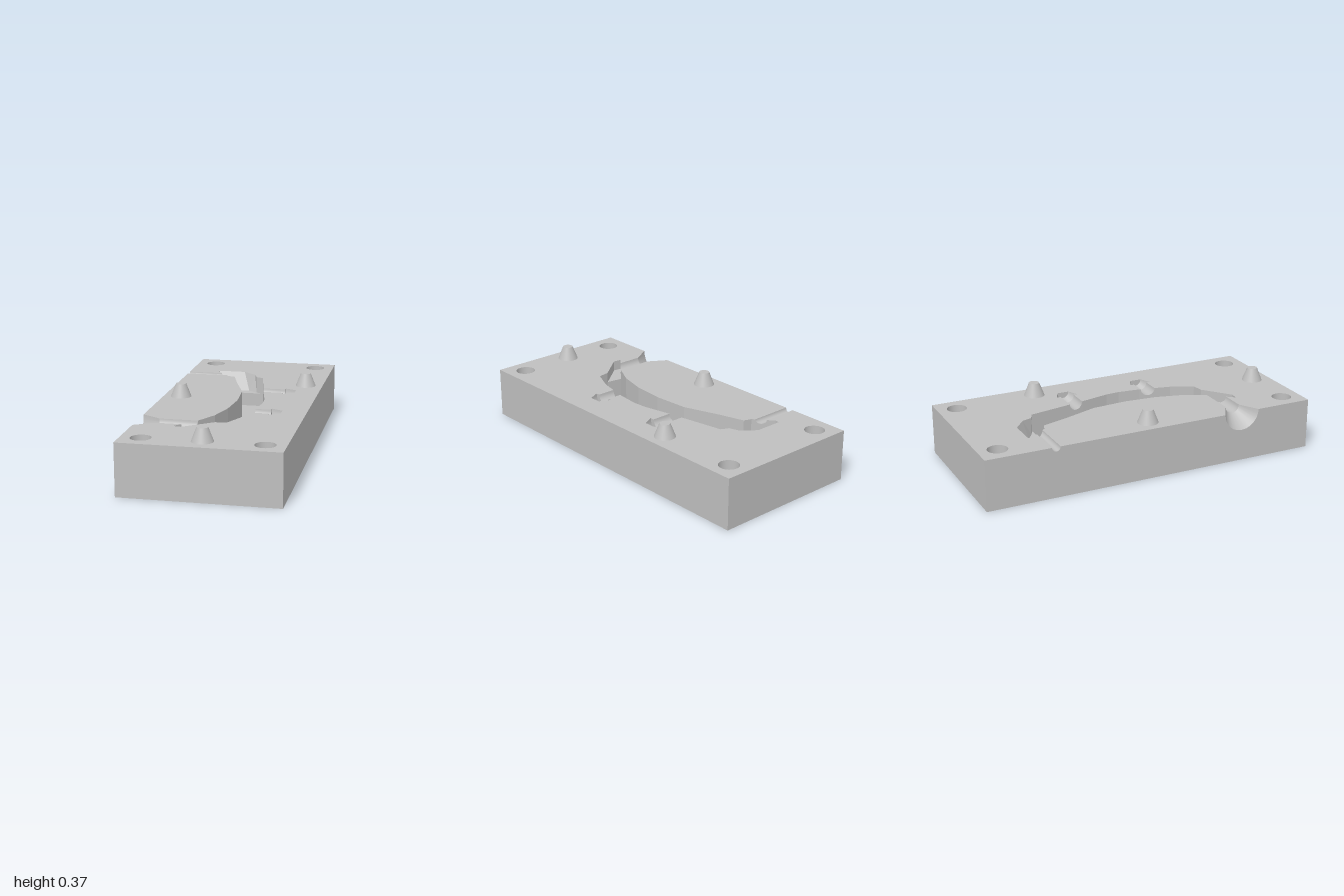
import * as THREE from 'three';

const TOP = 0.295, FLOOR = 0.115, POCKET = 0.195, TIP = 0.235;
const W = 0.44, HOLE_X = 0.328, HOLE_Z = 0.887, HOLE_R = 0.057;

export function createModel() {
  const group = new THREE.Group();
  const steel = new THREE.MeshStandardMaterial({ color: 0xbfbfbf, side: THREE.DoubleSide });
  steel.name = 'plainGrey';

  const add = (name, geo) => {
    const mesh = new THREE.Mesh(geo, steel);
    mesh.name = name;
    group.add(mesh);
    return mesh;
  };

  // Strip between two point rows of equal length
  const ruled = (name, a, b, smooth = false) => {
    const n = a.length, index = [];
    for (let i = 0; i < n - 1; i++) index.push(i, n + i, i + 1, i + 1, n + i, n + i + 1);
    let geo = new THREE.BufferGeometry();
    geo.setAttribute('position', new THREE.Float32BufferAttribute([...a, ...b].flat(), 3));
    geo.setIndex(index);
    if (!smooth) geo = geo.toNonIndexed();
    geo.computeVertexNormals();
    return add(name, geo);
  };

  // Flat polygon fanned from its first point
  const fan = (name, pts) => {
    const pos = [];
    for (let i = 1; i < pts.length - 1; i++) pos.push(...pts[0], ...pts[i], ...pts[i + 1]);
    const geo = new THREE.BufferGeometry();
    geo.setAttribute('position', new THREE.Float32BufferAttribute(pos, 3));
    geo.computeVertexNormals();
    return add(name, geo);
  };

  // Horizontal face from [x, z] points, with optional bolt holes
  const flat = (name, pts, y, holes = false, down = false) => {
    const s = down ? 1 : -1;
    const shape = new THREE.Shape(pts.map(([x, z]) => new THREE.Vector2(x, s * z)));
    if (holes) {
      for (const x of [-HOLE_X, HOLE_X]) for (const z of [-HOLE_Z, HOLE_Z]) {
        const path = new THREE.Path();
        path.absarc(x, s * z, HOLE_R, 0, Math.PI * 2, true);
        shape.holes.push(path);
      }
    }
    const geo = new THREE.ShapeGeometry(shape, 16);
    geo.rotateX(s * Math.PI / 2).translate(0, y, 0);
    return add(name, geo);
  };

  const lift = (pts, y = TOP) => pts.map(([x, z]) => [x, y, z]);
  const wall = (name, pts, y) => ruled(name, pts, pts.map(p => [p[0], y, p[2]]));
  // Half circle sunk below the parting face, from +z to -z; xf gives x for each z
  const arc = (c, r, xf, n = 12) => Array.from({ length: n + 1 }, (_, i) => {
    const t = Math.PI * i / n, z = c + r * Math.cos(t);
    return [typeof xf === 'number' ? xf : xf(z), TOP - r * Math.sin(t), z];
  });
  const line = (p, q) => z => p[0] + (q[0] - p[0]) * (z - p[1]) / (q[1] - p[1]);

  // Channel edges, from -z to +z
  const left = [[-0.13, -0.54], [-0.085, -0.39], [-0.01, -0.18], [0.005, 0.03],
    [-0.01, 0.22], [-0.05, 0.38], [-0.115, 0.507]];
  const right = [[0.05, -0.54], [0.117, -0.19], [0.155, -0.02], [0.16, 0.06],
    [0.147, 0.19], [0.106, 0.38], [0.048, 0.51]];
  const rightX = z => {
    let i = 0;
    while (i < right.length - 2 && z > right[i + 1][1]) i++;
    return line(right[i], right[i + 1])(z);
  };

  // Corners of the back pocket and the front tip
  const A = [-0.26, -0.685], B = [-0.095, -0.685], C = [-0.015, -0.62], D = [0.005, -0.56];
  const E = right[0], F = left[0], G = [-0.175, -0.555], H = [-0.26, -0.66];
  const L = left[6], R = right[6], T1 = [-0.223, 0.64], T2 = [-0.175, 0.645], T3 = [-0.02, 0.52];
  const pocketX = line(H, G), tipX = line(L, T1);

  // Side runners with barbed ends
  const stem = 0.042, barb = 0.066, end = 0.035, bx = 0.235, ex = 0.3;
  const ports = [0.243, -0.238];
  const outline = c => [[rightX(c + stem), c + stem], [bx, c + stem], [bx, c + barb], [ex, c + end],
    [ex, c - end], [bx, c - barb], [bx, c - stem], [rightX(c - stem), c - stem]];
  for (const c of ports) {
    ruled('sideRunner', arc(c, stem, rightX), arc(c, stem, bx), true);
    ruled('barbStep', arc(c, stem, bx), arc(c, barb, bx));
    ruled('barb', arc(c, barb, bx), arc(c, end, ex), true);
    fan('barbEnd', arc(c, end, ex));
  }

  // Pouring funnel and vent on the -x side
  const fc = 0.551, fr = 0.11, fs = 0.044, fx = -0.33, vc = -0.597, vr = 0.025;
  ruled('funnel', arc(fc, fr, -W), arc(fc, fs, fx), true);
  ruled('funnelNeck', arc(fc, fs, fx), arc(fc, fs, tipX), true);
  ruled('vent', arc(vc, vr, -W), arc(vc, vr, pocketX), true);

  // Parting face: main surround and the island inside the curve
  const byZ = [...right].reverse();
  const rim = [...byZ.slice(0, 2), ...outline(ports[0]), ...byZ.slice(2, 6),
    ...outline(ports[1]), byZ[6]];
  flat('partingFace', [[-W, -1], [W, -1], [W, 1], [-W, 1], [-W, fc + fr], [fx, fc + fs],
    [tipX(fc + fs), fc + fs], T1, T2, T3, ...rim, D, C, B, A, H,
    [pocketX(vc - vr), vc - vr], [-W, vc - vr]], TOP, true);
  flat('islandFace', [[-W, vc + vr], [pocketX(vc + vr), vc + vr], G, ...left,
    [fx, fc - fs], [-W, fc - fr]], TOP);

  // Block sides and underside
  wall('blockSides', [...lift([[-W, -1], [W, -1], [W, 1], [-W, 1]]),
    ...arc(fc, fr, -W), ...arc(vc, vr, -W), [-W, TOP, -1]], 0);
  flat('underside', [[-W, -1], [W, -1], [W, 1], [-W, 1]], 0, true, true);

  // Curved channel
  flat('channelFloor', [...left, T3, ...byZ], FLOOR);
  wall('channelInnerWall', lift(left), FLOOR);
  wall('channelOuterWall', [...lift(byZ.slice(0, 2)), ...arc(ports[0], stem, rightX),
    ...lift(byZ.slice(2, 6)), ...arc(ports[1], stem, rightX), ...lift([E])], FLOOR);
  wall('channelFrontWall', lift([T3, R]), FLOOR);
  wall('channelBackStep', lift([F, E], POCKET), FLOOR);
  wall('channelFrontStep', lift([L, T3], TIP), FLOOR);

  // Back pocket with its sloping end
  const slopeY = z => Math.max(POCKET, TOP - (z - A[1]) / 0.085 * (TOP - POCKET));
  const a2 = [pocketX(-0.6), -0.6], b2 = [-0.05, -0.6];
  const pocketTop = [...lift([A, H]), ...arc(vc, vr, pocketX).reverse(), ...lift([G, F])];
  ruled('pocketWall', pocketTop, pocketTop.map(([x, , z]) => [x, slopeY(z), z]));
  const at = (p, y = TOP) => [p[0], y, p[1]];
  const bLow = at(b2, POCKET), dLow = at(D, POCKET);
  fan('pocketSlope', [at(A), at(H, slopeY(H[1])), at(a2, POCKET), bLow, at(B)]);
  fan('pocketCorner', [at(B), bLow, at(C)]);
  fan('pocketCorner', [at(C), bLow, dLow]);
  fan('pocketCorner', [at(C), dLow, at(D)]);
  wall('pocketSide', lift([D, E]), POCKET);
  flat('pocketFloor', [a2, b2, D, E, F, G], POCKET);

  // Front tip
  flat('tipFloor', [L, T1, T2, T3], TIP);
  wall('tipWall', [...lift([L]), ...arc(fc, fs, tipX).reverse(), ...lift([T1, T2, T3])], TIP);

  // Bolt holes
  for (const x of [-HOLE_X, HOLE_X]) for (const z of [-HOLE_Z, HOLE_Z]) {
    add('boltHole', new THREE.CylinderGeometry(HOLE_R, HOLE_R, TOP, 32, 1, true))
      .position.set(x, TOP / 2, z);
  }

  // Tapered locating pins
  for (const [x, z] of [[0.338, -0.405], [-0.338, 0], [0, HOLE_Z]]) {
    add('locatingPin', new THREE.CylinderGeometry(0.03, 0.06, 0.077, 32))
      .position.set(x, TOP + 0.0385, z);
  }
  return group;
}
